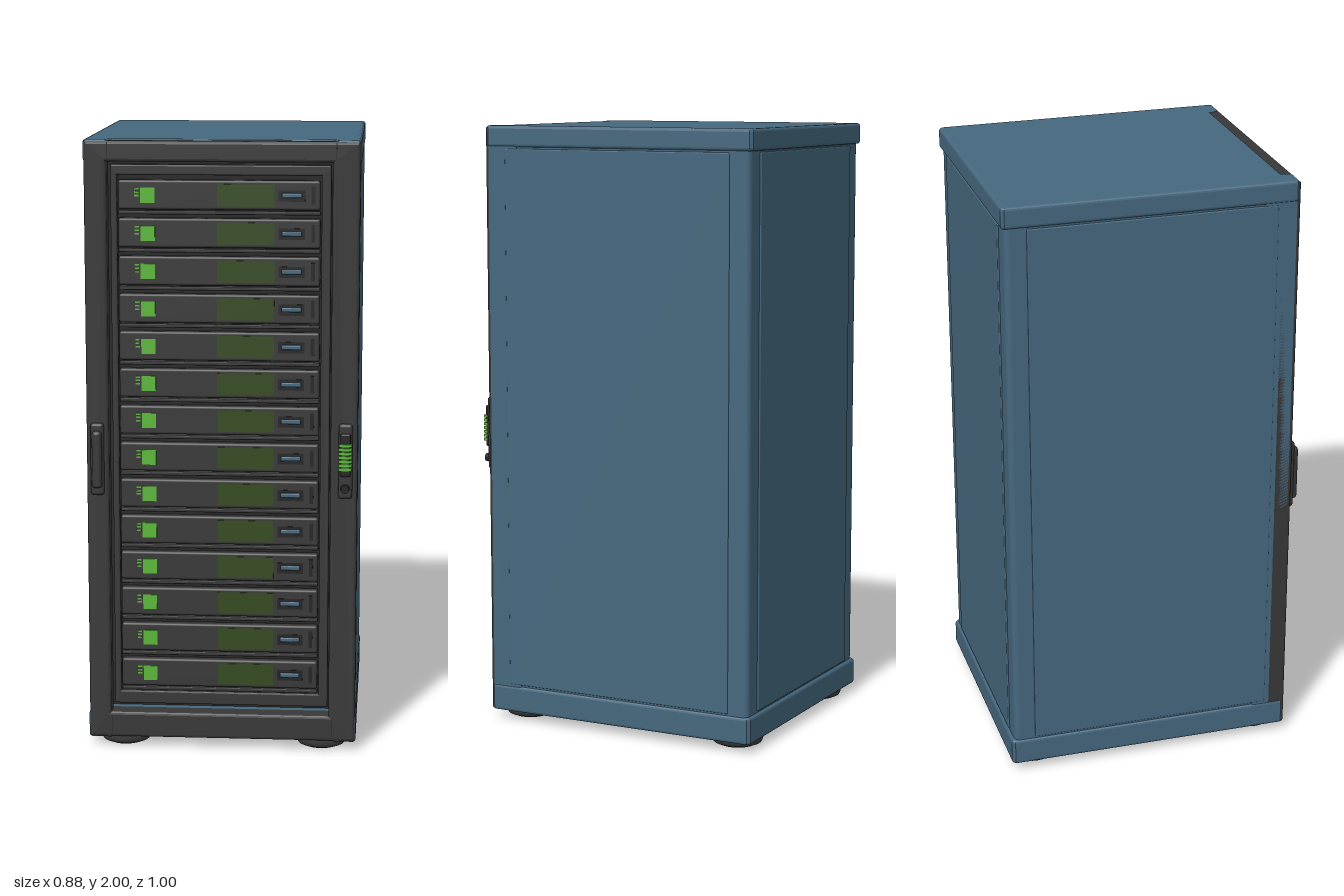
import * as THREE from 'three';
import { RoundedBoxGeometry } from 'three/addons/geometries/RoundedBoxGeometry.js';

const mat = (name, color) => {
  const m = new THREE.MeshStandardMaterial({ color });
  m.name = name;
  return m;
};

export function createModel() {
  const model = new THREE.Group();
  const blue = mat('cabinet blue', 0x46687f);
  const dark = mat('frame charcoal', 0x383838);
  const black = mat('gap black', 0x232323);
  const green = mat('light green', 0x5cb83a);
  const olive = mat('vent dark green', 0x344a1e);

  const add = (name, geo, material, parent = model) => {
    const mesh = new THREE.Mesh(geo, material);
    mesh.name = name;
    parent.add(mesh);
    return mesh;
  };
  // box given by its limits; r > 0 rounds the edges
  const box = (name, x0, x1, y0, y1, z0, z1, material, r = 0, parent = model) => {
    const s = [x1 - x0, y1 - y0, z1 - z0];
    const geo = r ? new RoundedBoxGeometry(...s, 2, r) : new THREE.BoxGeometry(...s);
    const mesh = add(name, geo, material, parent);
    mesh.position.set((x0 + x1) / 2, (y0 + y1) / 2, (z0 + z1) / 2);
    return mesh;
  };
  const rect = (target, x0, x1, y0, y1) => {
    target.moveTo(x0, y0);
    target.lineTo(x1, y0);
    target.lineTo(x1, y1);
    target.lineTo(x0, y1);
    target.closePath();
    return target;
  };
  const extrude = (shape, depth, b) => {
    const geo = new THREE.ExtrudeGeometry(shape, {
      depth: depth - 2 * b, bevelEnabled: true, bevelThickness: b, bevelSize: b, bevelOffset: -b, bevelSegments: 3,
    });
    return geo.translate(0, 0, b);
  };
  // upright rectangular frame with an opening
  const frame = (name, outer, inner, z0, z1, b) => {
    const shape = rect(new THREE.Shape(), ...outer);
    shape.holes.push(rect(new THREE.Path(), ...inner));
    add(name, extrude(shape, z1 - z0, b), dark).position.z = z0;
  };

  // cabinet body with raised side and back panels
  box('body', -0.434, 0.434, 0.1, 1.95, -0.49, 0.37, blue, 0.02);
  box('backPanel', -0.36, 0.36, 0.125, 1.925, -0.495, -0.46, blue, 0.004);
  for (const s of [-1, 1]) {
    const side = box('sidePanel', -0.01, 0.01, 0.125, 1.925, -0.42, 0.395, blue, 0.004);
    side.position.x = s * 0.428;
    const post = box('frontPost', -0.034, 0.034, 0.11, 1.94, 0.35, 0.462, blue, 0.006);
    post.position.x = s * 0.403;
  }

  // base and top caps, notched at the front for the door frame
  const cap = new THREE.Shape([
    [-0.43, 0.5], [-0.44, 0.49], [-0.44, -0.455], [-0.433, -0.464], [-0.365, -0.464], [-0.35, -0.43],
    [0.35, -0.43], [0.365, -0.464], [0.433, -0.464], [0.44, -0.455], [0.44, 0.49], [0.43, 0.5],
  ].map(([x, y]) => new THREE.Vector2(x, y)));
  for (const [name, y0, y1] of [['baseCap', 0.03, 0.12], ['topCap', 1.93, 2]]) {
    const mesh = add(name, extrude(cap, y1 - y0, 0.01), blue);
    mesh.rotation.x = -Math.PI / 2;
    mesh.position.y = y0;
  }

  // feet
  const footProfile = [[0, 0], [0.06, 0], [0.078, 0.008], [0.084, 0.02], [0.08, 0.034], [0, 0.034]]
    .map(([x, y]) => new THREE.Vector2(x, y));
  for (const x of [-0.325, 0.325]) {
    for (const z of [-0.405, 0.378]) {
      add('foot', new THREE.LatheGeometry(footProfile, 28), dark).position.set(x, 0, z);
    }
  }

  // front door frame, recess and inner rack frame
  frame('doorFrame', [-0.437, 0.437, 0.034, 1.996], [-0.365, 0.35, 0.12, 1.93], 0.4, 0.468, 0.01);
  box('recessBack', -0.38, 0.38, 0.1, 1.95, 0.36, 0.384, black);
  frame('rackFrame', [-0.358, 0.345, 0.135, 1.918], [-0.337, 0.315, 0.178, 1.885], 0.38, 0.418, 0.005);
  for (const s of [-1, 1]) {
    for (const y of [0.075, 1.965]) box('capSeam', s * 0.362 - 0.001, s * 0.362 + 0.001, y - 0.026, y + 0.026, 0.464, 0.469, black);
  }

  // stacked server units
  for (let i = 0; i < 14; i++) {
    const unit = new THREE.Group();
    unit.name = 'serverUnit';
    unit.position.y = 0.24 + i * 0.1216;
    model.add(unit);
    box('unitFace', -0.335, 0.311, -0.046, 0.048, 0.38, 0.412, dark, 0.008, unit);
    box('unitLedge', -0.335, 0.311, -0.062, -0.05, 0.38, 0.406, dark, 0.003, unit);
    box('statusLight', -0.263, -0.217, -0.025, 0.024, 0.408, 0.415, green, 0, unit);
    for (let k = 0; k < 3; k++) {
      const y = -0.004 + k * 0.011;
      box('statusDot', -0.282, -0.268, y, y + 0.005, 0.408, 0.4135, green, 0, unit);
    }
    box('vent', -0.018, 0.165, -0.035, 0.036, 0.408, 0.4135, olive, 0, unit);
    box('handleRecess', 0.178, 0.262, -0.018, 0.018, 0.408, 0.4132, black, 0, unit);
    box('pullHandle', 0.188, 0.252, -0.006, 0.009, 0.41, 0.42, blue, 0.004, unit);
    box('slot', 0.282, 0.294, -0.026, 0.03, 0.408, 0.4135, black, 0, unit);
  }

  // door pull on the model's right
  box('doorPullPlate', -0.424, -0.38, 0.855, 1.092, 0.46, 0.482, dark, 0.01);
  box('doorPull', -0.418, -0.386, 0.88, 1.068, 0.47, 0.498, dark, 0.012);

  // lock with a ribbed green display on the model's left
  box('lockPlate', 0.376, 0.421, 0.855, 1.1, 0.46, 0.483, dark, 0.01);
  box('lockBody', 0.382, 0.415, 0.93, 1.07, 0.47, 0.493, black, 0.006);
  for (let i = 0; i < 7; i++) {
    const y = 0.95 + i * 0.013;
    box('lockStripe', 0.377, 0.419, y, y + 0.009, 0.484, 0.497, green);
  }
  const key = add('keyhole', new THREE.CylinderGeometry(0.013, 0.015, 0.02, 20), black);
  key.rotation.x = Math.PI / 2;
  key.position.set(0.398, 0.89, 0.49);

  return model;
}
